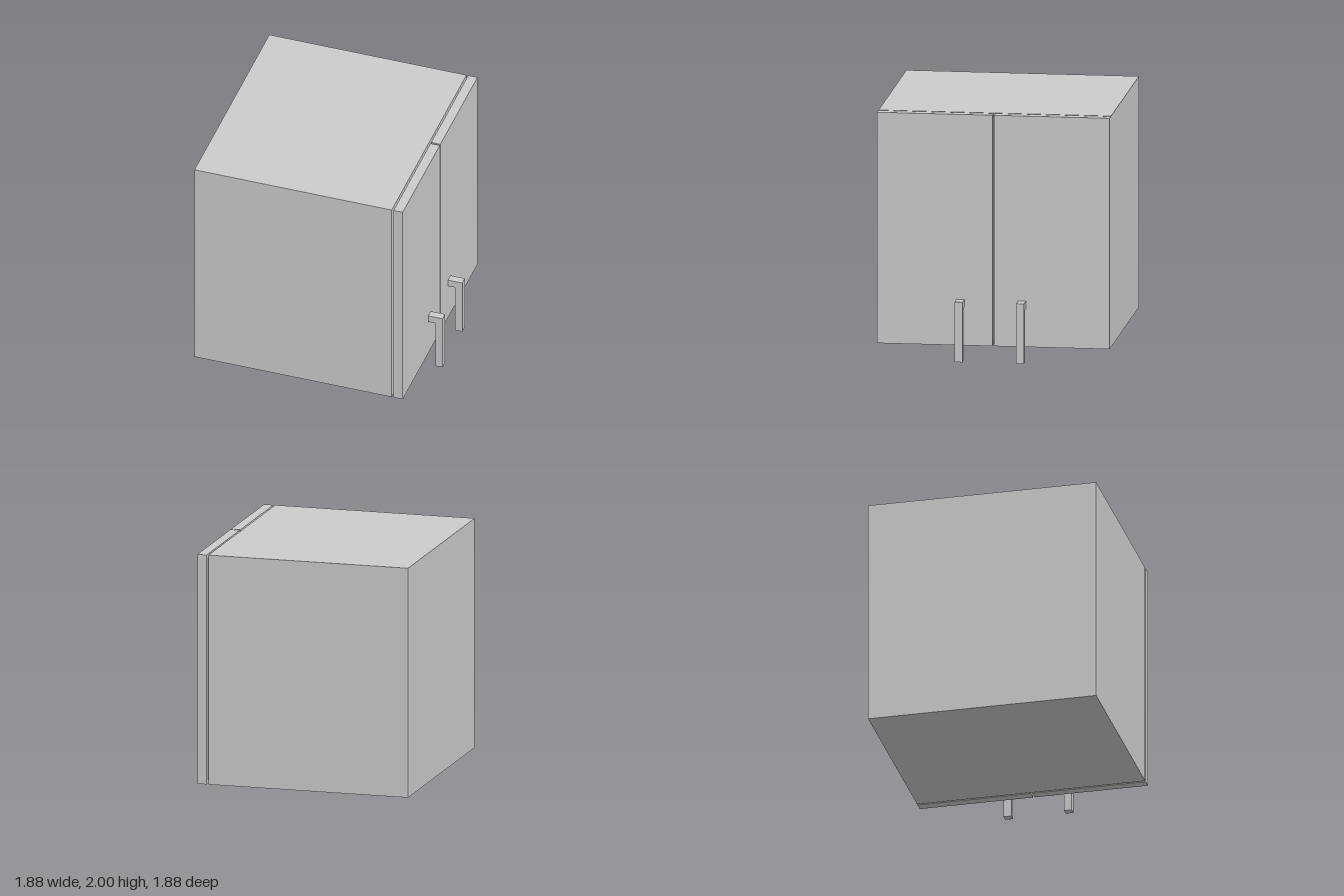
import * as THREE from 'three';

const material = new THREE.MeshStandardMaterial({ color: 0xcccccc, flatShading: true });

// Box given by its minimum and maximum on each axis
function box(name, [x0, x1], [y0, y1], [z0, z1]) {
  const mesh = new THREE.Mesh(new THREE.BoxGeometry(x1 - x0, y1 - y0, z1 - z0), material);
  mesh.name = name;
  mesh.position.set((x0 + x1) / 2, (y0 + y1) / 2, (z0 + z1) / 2);
  return mesh;
}

// L-shaped pull: a short arm from the door, then a long grip hanging down
function createHandle(z) {
  const shape = new THREE.Shape();
  shape.moveTo(0.82, 0.49);
  shape.lineTo(0.82, 0.43);
  shape.lineTo(0.88, 0.43);
  shape.lineTo(0.88, 0);
  shape.lineTo(0.94, 0);
  shape.lineTo(0.94, 0.49);
  shape.closePath();
  const geometry = new THREE.ExtrudeGeometry(shape, { depth: 0.064, bevelEnabled: false });
  const handle = new THREE.Mesh(geometry, material);
  handle.name = 'handle';
  handle.position.z = z - 0.032;
  return handle;
}

export function createModel() {
  const cabinet = new THREE.Group();
  cabinet.name = 'cabinet';
  const height = [0.115, 2];

  // Carcass
  cabinet.add(box('carcass', [-0.94, 0.727], height, [-0.94, 0.94]));

  // Recessed spacer and thin seal in the gap behind the doors
  cabinet.add(box('spacer', [0.727, 0.738], [0.215, 1.9], [-0.84, 0.84]));
  cabinet.add(box('seal', [0.738, 0.742], [0.145, 1.97], [-0.905, 0.905]));

  // Pair of doors with a narrow seam
  cabinet.add(box('leftDoor', [0.742, 0.82], height, [-0.94, -0.007]));
  cabinet.add(box('rightDoor', [0.742, 0.82], height, [0.007, 0.94]));

  // Handles
  for (const z of [0.265, -0.233]) cabinet.add(createHandle(z));

  return cabinet;
}
